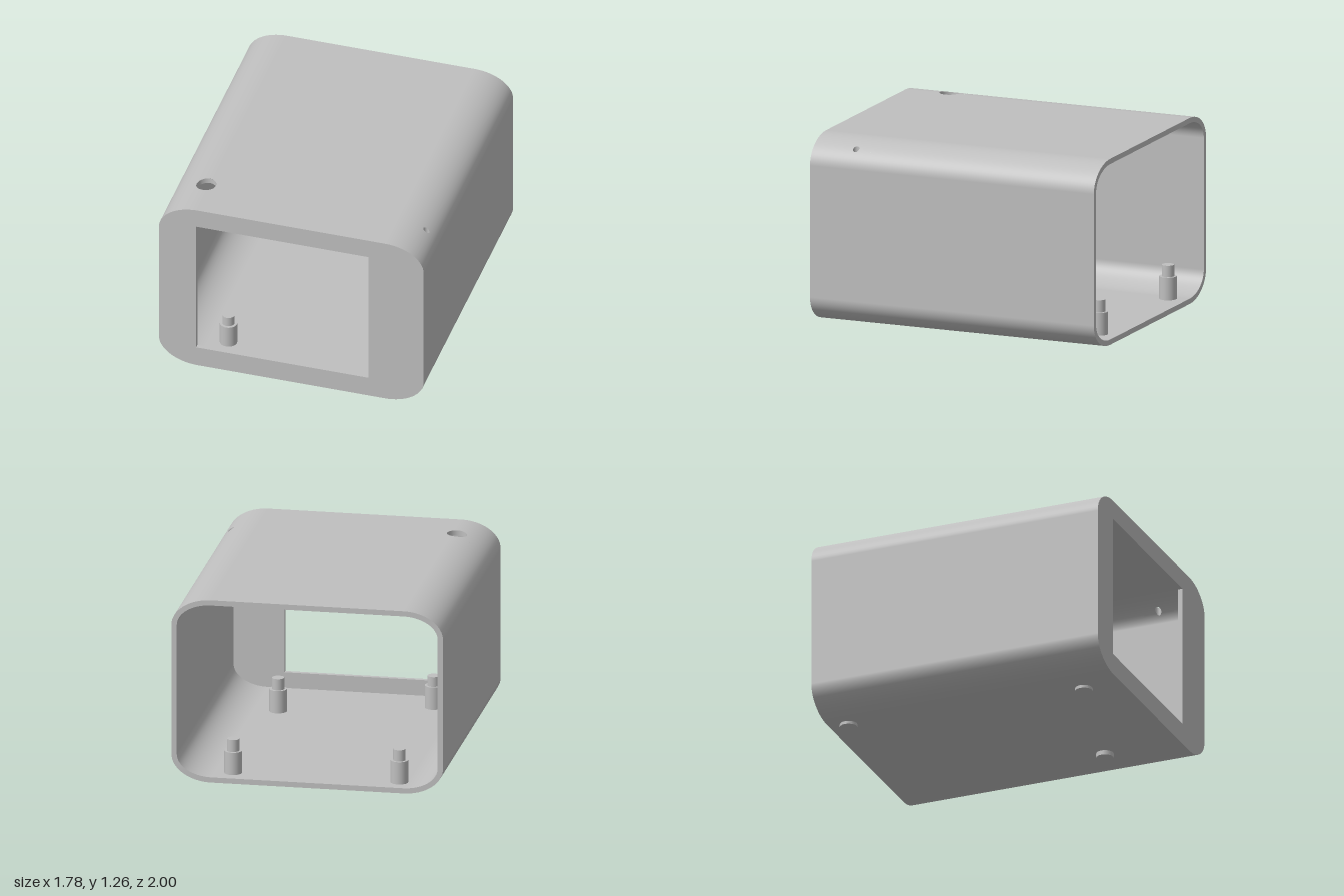
import * as THREE from 'three';

const W = 0.89, Y0 = 0.03, Y1 = 1.26;    // outer half width, bottom, top
const RX = 0.26, RY = 0.18, T = 0.035;   // corner radii, wall thickness
const CX = W - RX, CB = Y0 + RY, CT = Y1 - RY;
const STEPS = 16;

// Point and outward normal on the rounded section. s runs 0..8 anticlockwise from
// the +x side; even spans are flats, odd spans are corners. o is the inset.
function section(s, o) {
  const k = Math.min(7, Math.floor(s)), f = s - k;
  const centres = [[CX, CB], [CX, CT], [-CX, CT], [-CX, CB]];
  const rx = RX - o, ry = RY - o;
  const at = (c, a) => new THREE.Vector2(c[0] + rx * Math.cos(a), c[1] + ry * Math.sin(a));
  const q = k >> 1, a = (q + (k % 2 ? f : 0)) * Math.PI / 2;
  const n = new THREE.Vector2(Math.cos(a) / rx, Math.sin(a) / ry).normalize();
  const p = k % 2 ? at(centres[(q + 1) % 4], a)
    : at(centres[q], a).lerp(at(centres[(q + 1) % 4], a), f);
  return { p, n };
}

// Section parameter for a given x on the upper half
function sOf(x, o) {
  const over = Math.asin(Math.min(1, Math.max(0, Math.abs(x) - CX) / (RX - o))) * 2 / Math.PI;
  if (x > CX) return 2 - over;
  return x < -CX ? 3 + over : 2 + (CX - x) / (2 * CX);
}

// Section samples between two parameters, dense in the corners
function samples(a, b) {
  const list = [a];
  for (let i = 0; i <= 8 * STEPS; i++) {
    const s = i / STEPS;
    if (s > a + 1e-4 && s < b - 1e-4 && (Math.floor(s) % 2 || i % STEPS === 0)) list.push(s);
  }
  return [...list, b];
}

// Surface from a grid of { p, n }; triangles are turned to agree with their normals
function surface(grids) {
  const pos = [], nor = [], e1 = new THREE.Vector3(), e2 = new THREE.Vector3();
  const tri = (a, b, c) => {
    e1.subVectors(b.p, a.p).cross(e2.subVectors(c.p, a.p));
    const order = e1.dot(a.n) + e1.dot(b.n) + e1.dot(c.n) < 0 ? [a, c, b] : [a, b, c];
    for (const v of order) { pos.push(...v.p.toArray()); nor.push(...v.n.toArray()); }
  };
  for (const g of grids)
    for (let i = 0; i + 1 < g.length; i++)
      for (let j = 0; j + 1 < g[i].length; j++) {
        tri(g[i][j], g[i + 1][j], g[i + 1][j + 1]);
        tri(g[i][j], g[i + 1][j + 1], g[i][j + 1]);
      }
  const geo = new THREE.BufferGeometry();
  geo.setAttribute('position', new THREE.Float32BufferAttribute(pos, 3));
  geo.setAttribute('normal', new THREE.Float32BufferAttribute(nor, 3));
  return geo;
}

// Vertex on the outer (o = 0) or inner (o = T) skin
function skin(s, z, o) {
  const { p, n } = section(s, o), k = o ? -1 : 1;
  return { p: new THREE.Vector3(p.x, p.y, z), n: new THREE.Vector3(n.x * k, n.y * k, 0) };
}

const ZA = 0.6, ZB = 0.81, ZC = (ZA + ZB) / 2;
const HOLES = [{ x: 0.82, r: 0.02, half: 0.026 }, { x: -0.66, r: 0.065, half: 0.1 }];

function shellGeometry() {
  const grids = [];
  const sheet = (s0, s1, z0, z1, o) =>
    grids.push(samples(s0, s1).map(s => [skin(s, z0, o), skin(s, z1, o)]));
  for (const o of [0, T]) {
    // plain bands in front of and behind the holes
    sheet(0, 8, -1, ZA, o);
    sheet(0, 8, ZB, 1, o);
    // band interrupted by the holes
    let s = 0;
    for (const h of HOLES) {
      sheet(s, sOf(h.x + h.half, o), ZA, ZB, o);
      s = sOf(h.x - h.half, o);
      // patch blending from the round hole out to its rectangle
      const patch = [];
      for (let i = 0; i <= 64; i++) {
        const a = i / 64 * Math.PI * 2, c = Math.cos(a), d = Math.sin(a);
        const m = Math.max(Math.abs(c), Math.abs(d)), row = [];
        for (let j = 0; j <= 5; j++) {
          const x = h.x + THREE.MathUtils.lerp(h.r * c, h.half * c / m, j / 5);
          const z = ZC + THREE.MathUtils.lerp(h.r * d, (ZB - ZA) / 2 * d / m, j / 5);
          row.push(skin(sOf(x, o), z, o));
        }
        patch.push(row);
      }
      grids.push(patch);
    }
    sheet(s, 8, ZA, ZB, o);
  }
  // hole walls
  for (const h of HOLES) {
    const wall = [];
    for (let i = 0; i <= 32; i++) {
      const a = i / 32 * Math.PI * 2, c = Math.cos(a), d = Math.sin(a);
      wall.push([0, T].map(o => ({
        p: skin(sOf(h.x + h.r * c, o), ZC + h.r * d, o).p, n: new THREE.Vector3(-c, 0, -d)
      })));
    }
    grids.push(wall);
  }
  // end rims
  for (const z of [-1, 1])
    grids.push(samples(0, 8).map(s => [0, T].map(o =>
      ({ p: skin(s, z, o).p, n: new THREE.Vector3(0, 0, z) }))));
  return surface(grids);
}

// Front plate with an off-centre rectangular window
function frontGeometry() {
  const shape = new THREE.Shape(samples(0, 8).slice(0, -1).map(s => section(s, T).p));
  const [l, r, b, t] = [-0.64, 0.52, 0.17, 1.13];
  shape.holes.push(new THREE.Path([[l, b], [l, t], [r, t], [r, b]].map(p => new THREE.Vector2(...p))));
  return new THREE.ExtrudeGeometry(shape, { depth: 0.03, bevelEnabled: false }).translate(0, 0, 0.97);
}

export function createModel() {
  const model = new THREE.Group();
  const grey = new THREE.MeshStandardMaterial({ color: 0xbfbfbf });
  grey.name = 'grey';
  const add = (parent, name, geo) => {
    const mesh = new THREE.Mesh(geo, grey);
    mesh.name = name;
    parent.add(mesh);
  };
  add(model, 'shell', shellGeometry());
  add(model, 'frontPlate', frontGeometry());

  // stepped standoffs passing through the floor: x, z, foot y, pin top y
  const posts = [
    [-0.5, 0.74, 0.01, 0.28], [0.47, 0.48, 0, 0.29],
    [-0.58, -0.87, 0.01, 0.29], [0.51, -0.87, 0.04, 0.295],
  ];
  for (const [x, z, foot, top] of posts) {
    const post = new THREE.Group();
    post.name = 'standoff';
    post.position.set(x, 0, z);
    const shoulder = 0.215;
    add(post, 'standoffBase', new THREE.CylinderGeometry(0.057, 0.057, shoulder - foot, 32)
      .translate(0, (shoulder + foot) / 2, 0));
    add(post, 'standoffPin', new THREE.CylinderGeometry(0.04, 0.04, top - shoulder, 32)
      .translate(0, (top + shoulder) / 2, 0));
    model.add(post);
  }
  return model;
}
